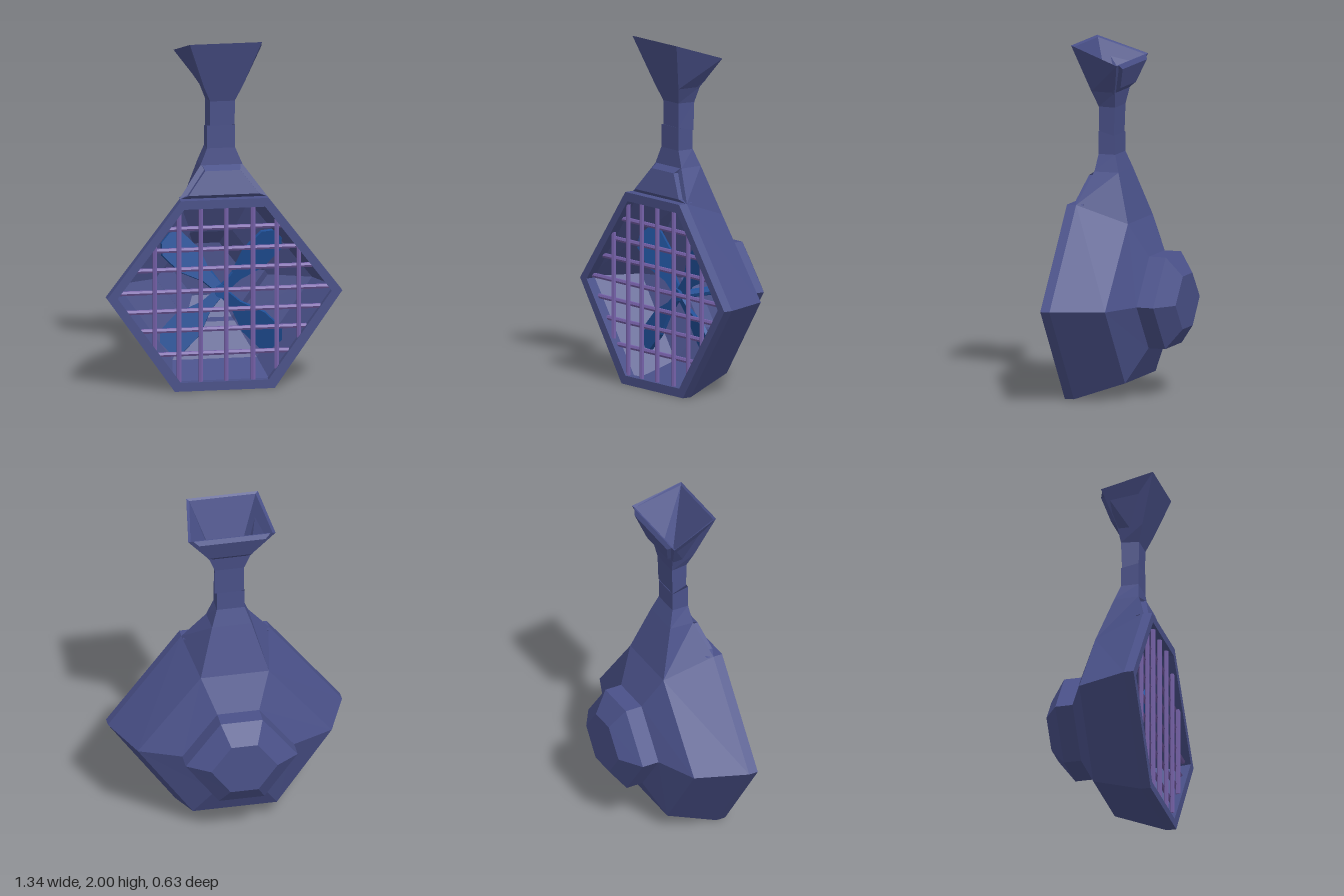
import * as THREE from 'three';

const mat = (color) => new THREE.MeshStandardMaterial({ color, flatShading: true, side: THREE.DoubleSide });
const shellMat = mat(0x4a5189);
const barMat = mat(0x7560a8);
const fanMat = mat(0x1f4f96);

function add(parent, geometry, material, name) {
  const mesh = new THREE.Mesh(geometry, material);
  mesh.name = name;
  parent.add(mesh);
  return mesh;
}

// Skin between rings of equal length, with optional flat caps at either end
function loft(rings, capStart = false, capEnd = false) {
  const pos = [];
  const tri = (a, b, c) => pos.push(...a, ...b, ...c);
  const n = rings[0].length;
  for (let i = 0; i + 1 < rings.length; i++) {
    for (let j = 0; j < n; j++) {
      const k = (j + 1) % n;
      const a = rings[i][j], b = rings[i][k], c = rings[i + 1][k], d = rings[i + 1][j];
      tri(a, d, b);
      tri(b, d, c);
    }
  }
  const first = rings[0], last = rings[rings.length - 1];
  for (let j = 1; j + 1 < n; j++) {
    if (capStart) tri(first[0], first[j], first[j + 1]);
    if (capEnd) tri(last[0], last[j + 1], last[j]);
  }
  const g = new THREE.BufferGeometry();
  g.setAttribute('position', new THREE.Float32BufferAttribute(pos, 3));
  g.computeVertexNormals();
  return g;
}

// Upright hexagon with side points at y = 0.55
const hex = (z, w, yb, wb, yt, wt) => [
  [w, 0.55, z], [wt, yt, z], [-wt, yt, z], [-w, 0.55, z], [-wb, yb, z], [wb, yb, z],
];

// Four-cornered ring given by its front and back edges (half width, y, z)
const quad = (wf, yf, zf, wb, yb, zb) => [
  [wb, yb, zb], [wf, yf, zf], [-wf, yf, zf], [-wb, yb, zb],
];

export function createModel() {
  const model = new THREE.Group();
  model.name = 'fanDuct';

  // Hexagonal housing: front lip, tapering shell, motor bulge at the back
  add(model, loft([
    hex(0.25, 0.62, 0.045, 0.255, 1.055, 0.235),
    hex(0.315, 0.61, 0.05, 0.25, 1.05, 0.23),
    hex(0.315, 0.67, 0, 0.285, 1.1, 0.25),
    hex(0.26, 0.67, 0, 0.285, 1.1, 0.25),
    hex(-0.03, 0.555, 0.1, 0.24, 1.0, 0.195),
    hex(-0.13, 0.32, 0.29, 0.13, 0.81, 0.12),
    hex(-0.23, 0.32, 0.29, 0.13, 0.81, 0.12),
    hex(-0.315, 0.19, 0.4, 0.08, 0.7, 0.075),
  ], false, true), shellMat, 'housing');

  // Shoulder narrowing from the housing into the neck
  add(model, loft([
    quad(0.25, 1.1, 0.26, 0.195, 1.0, -0.03),
    quad(0.12, 1.275, 0.2, 0.113, 1.275, 0.058),
    quad(0.08, 1.37, 0.19, 0.08, 1.37, 0.09),
    quad(0.08, 1.5, 0.19, 0.08, 1.48, 0.09),
  ]), shellMat, 'shoulder');

  // Raised panel on the front of the shoulder
  const panel = (w, y, z, zBack) => quad(w, y, z, w, y, zBack);
  add(model, loft([
    panel(0.245, 1.1, 0.262, 0.22),
    panel(0.2, 1.12, 0.28, 0.21),
    panel(0.1, 1.25, 0.24, 0.18),
    panel(0.11, 1.275, 0.2, 0.17),
  ], true, true), shellMat, 'shoulderPanel');

  // Upper neck and open funnel with its inner surface
  const top = new THREE.Group();
  top.name = 'neckAndFunnel';
  top.position.x = 0.008;
  model.add(top);
  add(top, loft([
    quad(0.07, 1.5, 0.187, 0.084, 1.48, 0.094),
    quad(0.07, 1.64, 0.19, 0.084, 1.64, 0.088),
  ], true), shellMat, 'upperNeck');
  add(top, loft([
    quad(0.07, 1.64, 0.19, 0.084, 1.64, 0.088),
    quad(0.11, 1.73, 0.219, 0.118, 1.73, 0.075),
    quad(0.205, 2.0, 0.305, 0.25, 1.905, 0.015),
    quad(0.19, 1.99, 0.295, 0.235, 1.9, 0.025),
    quad(0.07, 1.66, 0.18, 0.075, 1.66, 0.1),
  ], false, true), shellMat, 'funnel');

  // Raised panel on the back of the funnel
  add(top, loft([
    panel(0.1, 1.73, 0.08, 0.072),
    panel(0.12, 1.76, 0.075, 0.04),
    panel(0.19, 1.88, 0.03, 0),
    panel(0.22, 1.905, 0.02, 0.014),
  ], true, true), shellMat, 'funnelPanel');

  // Grille of bars, each cut to the hexagonal opening
  const grille = new THREE.Group();
  grille.name = 'grille';
  model.add(grille);
  const bar = (length) => new THREE.CylinderGeometry(0.014, 0.014, length, 6);
  for (const x of [-0.394, -0.257, -0.132, 0.013, 0.165, 0.3, 0.426]) {
    const yTop = 1.06 - Math.max(0, Math.abs(x) - 0.23) * 1.3;
    const yBottom = 0.04 + Math.max(0, Math.abs(x) - 0.25) * 1.38;
    add(grille, bar(yTop - yBottom), barMat, 'uprightBar').position.set(x, (yTop + yBottom) / 2, 0.288);
  }
  for (const y of [0.207, 0.345, 0.456, 0.568, 0.695, 0.807, 0.93]) {
    const half = 0.62 - Math.abs(y - 0.55) * (y > 0.55 ? 0.76 : 0.72);
    const rail = add(grille, bar(half * 2), barMat, 'crossBar');
    rail.rotation.z = Math.PI / 2;
    rail.position.set(0, y, 0.27);
  }

  // Four-bladed fan on a shaft behind the grille
  const fan = new THREE.Group();
  fan.name = 'fan';
  fan.position.set(0.01, 0.53, 0.13);
  model.add(fan);
  const outline = [[-0.025, 0], [0.025, 0], [0.035, 0.12], [0.09, 0.26], [0.09, 0.4], [0.04, 0.45],
    [-0.04, 0.45], [-0.09, 0.4], [-0.09, 0.26], [-0.035, 0.12]];
  const bladeGeo = new THREE.ExtrudeGeometry(
    new THREE.Shape(outline.map(([x, y]) => new THREE.Vector2(x, y))), { depth: 0.02, bevelEnabled: false });
  bladeGeo.translate(0, 0, -0.01).rotateY(0.35);
  for (let i = 0; i < 4; i++) {
    add(fan, bladeGeo, fanMat, 'blade').rotation.z = Math.PI / 4 + i * Math.PI / 2;
  }
  add(fan, new THREE.CylinderGeometry(0.04, 0.04, 0.06, 8).rotateX(Math.PI / 2), fanMat, 'fanHub');
  add(fan, new THREE.CylinderGeometry(0.025, 0.025, 0.43, 8).rotateX(Math.PI / 2), fanMat, 'fanShaft')
    .position.z = -0.22;

  return model;
}
